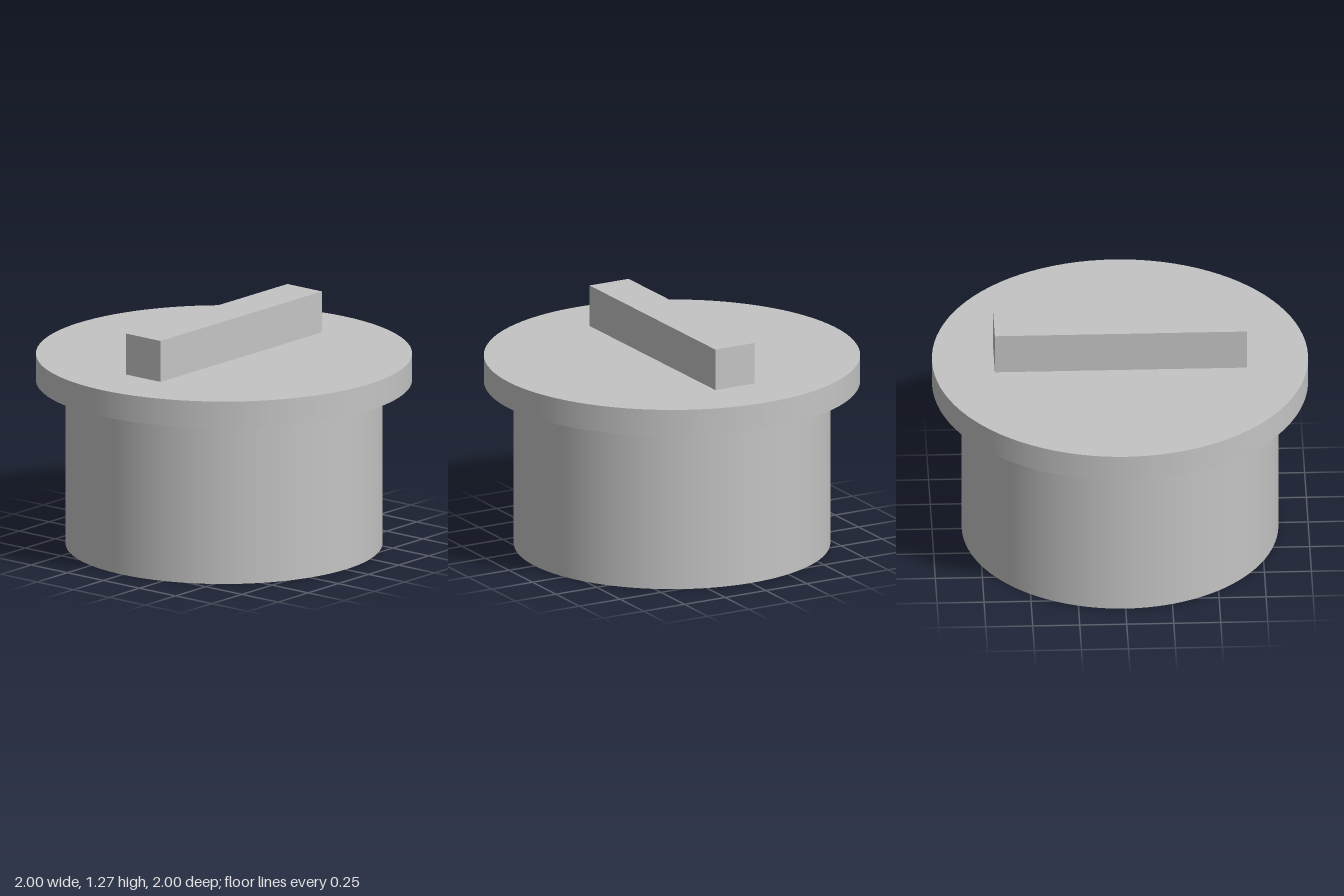
import * as THREE from 'three';
import { mergeGeometries } from 'three/addons/utils/BufferGeometryUtils.js';

const SIDES = 96;

// Revolve a profile with a sharp edge at every profile point
function revolve(profile) {
  const strips = [];
  for (let i = 0; i < profile.length - 1; i++) {
    const pts = [profile[i], profile[i + 1]].map(([r, y]) => new THREE.Vector2(r, y));
    strips.push(new THREE.LatheGeometry(pts, SIDES));
  }
  return mergeGeometries(strips);
}

export function createModel() {
  const group = new THREE.Group();
  group.name = 'plugCap';

  const grey = new THREE.MeshStandardMaterial({ color: 0xc4c4c4, side: THREE.DoubleSide });
  grey.name = 'light grey';

  const add = (name, geometry) => {
    const mesh = new THREE.Mesh(geometry, grey);
    mesh.name = name;
    group.add(mesh);
    return mesh;
  };

  // Thin open skirt
  add('skirt', revolve([[0.842, 0], [0.842, 0.9]]));

  // Wide lid, recessed underneath inside the skirt
  add('lid', revolve([
    [0, 0.955], [0.842, 0.955], [0.842, 0.9], [1, 0.9], [1, 1.045], [0, 1.045],
  ]));

  // Straight grip bar across the lid
  add('gripBar', new THREE.BoxGeometry(0.24, 0.225, 1.34)).position.y = 1.1575;

  return group;
}
